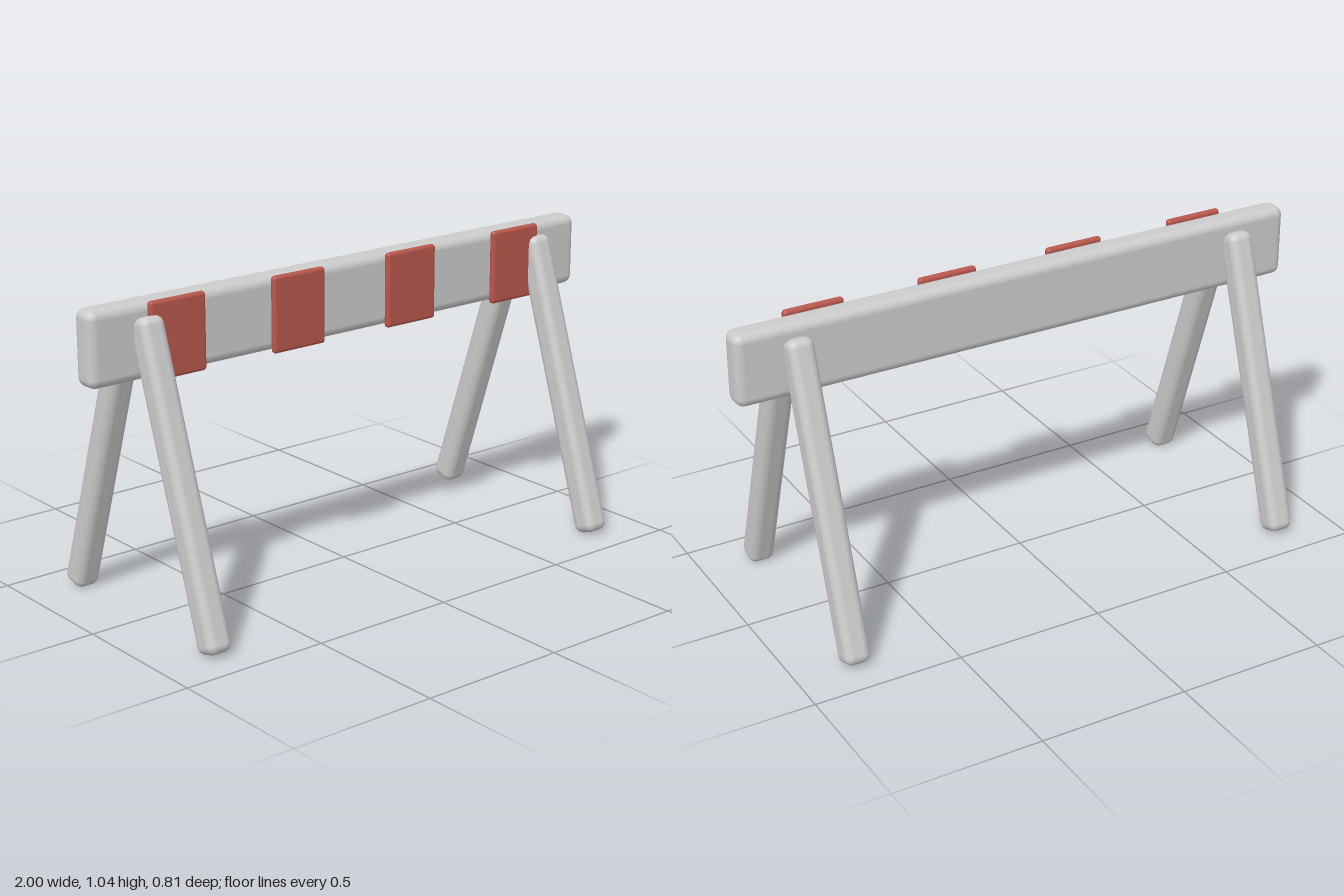
import * as THREE from 'three';
import { RoundedBoxGeometry } from 'three/addons/geometries/RoundedBoxGeometry.js';

const grey = new THREE.MeshStandardMaterial({ color: 0xcccccc });
const red = new THREE.MeshStandardMaterial({ color: 0xb8574c });

function roundedBar(name, size, radius, material, position) {
  const mesh = new THREE.Mesh(new RoundedBoxGeometry(...size, 3, radius), material);
  mesh.name = name;
  mesh.position.set(...position);
  return mesh;
}

export function createModel() {
  const barrier = new THREE.Group();
  barrier.name = 'barrier';

  // Horizontal board
  barrier.add(roundedBar('board', [2, 0.243, 0.09], 0.03, grey, [0, 0.912, 0]));

  // Red stripes fixed to the front of the board
  for (let i = 0; i < 4; i++) {
    const x = (i - 1.5) * 0.464;
    barrier.add(roundedBar('stripe', [0.205, 0.25, 0.024], 0.011, red, [x, 0.912, 0.057]));
  }

  // Splayed legs, a front and back pair at each end
  for (const side of [-1, 1]) {
    for (const depth of [-1, 1]) {
      const name = (depth > 0 ? 'front' : 'back') + (side > 0 ? 'LeftLeg' : 'RightLeg');
      const leg = roundedBar(name, [0.088, 1.034, 0.088], 0.028, grey, [side * 0.8, 0.498, depth * 0.206]);
      leg.rotation.x = -depth * 0.32;
      barrier.add(leg);
    }
  }

  return barrier;
}
